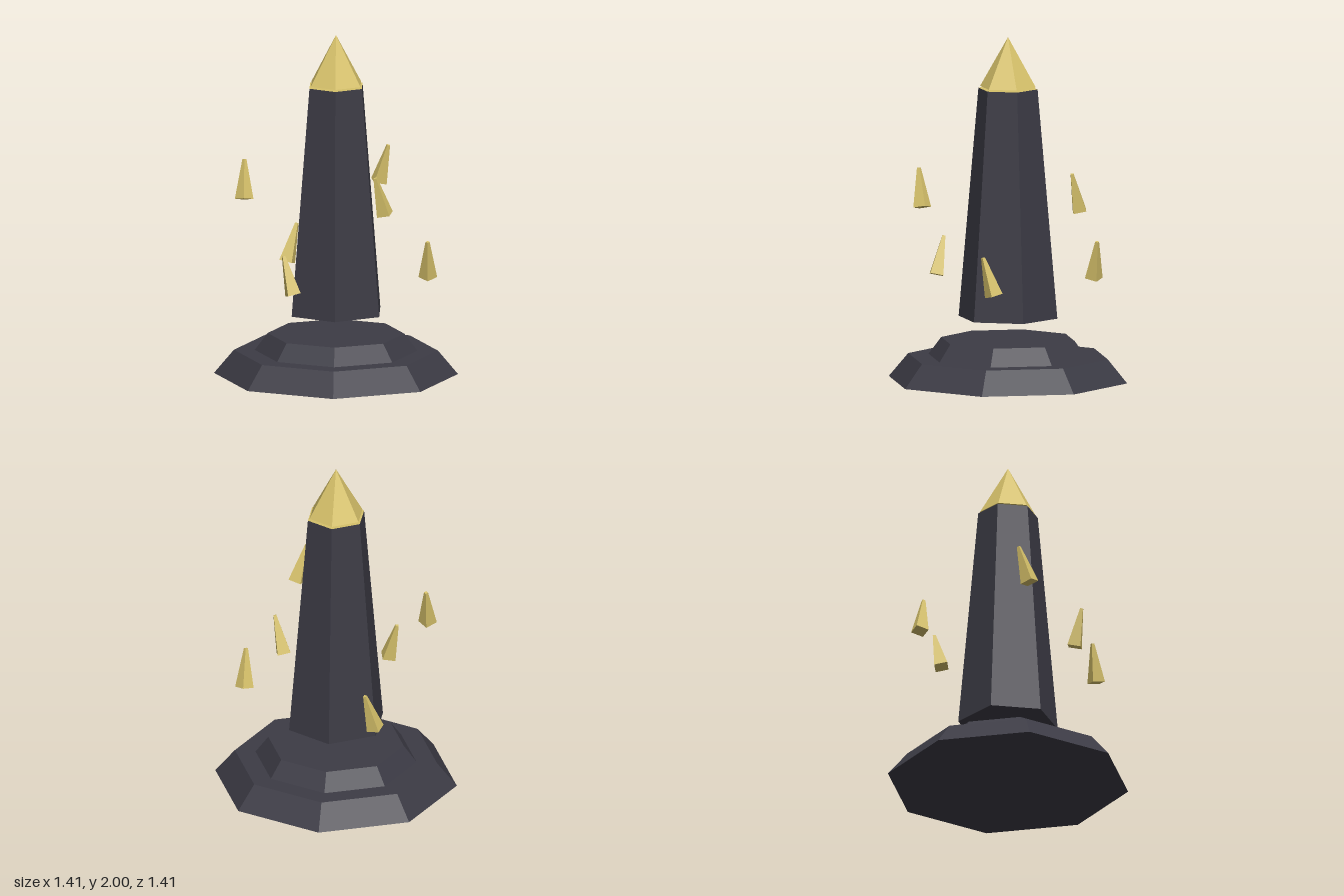
import * as THREE from 'three';

export function createModel() {
  const model = new THREE.Group();
  model.name = 'floatingObelisk';

  const stone = new THREE.MeshStandardMaterial({ color: 0x3c3b45, flatShading: true });
  stone.name = 'dark stone';
  const gold = new THREE.MeshStandardMaterial({ color: 0xd6c16a, flatShading: true });
  gold.name = 'pale gold';

  // Faceted frustum standing between two heights
  function frustum(name, rTop, rBottom, y0, y1, sides, material) {
    const geometry = new THREE.CylinderGeometry(rTop, rBottom, y1 - y0, sides);
    const mesh = new THREE.Mesh(geometry, material);
    mesh.name = name;
    mesh.position.y = (y0 + y1) / 2;
    model.add(mesh);
    return mesh;
  }

  // Stepped octagonal base
  frustum('lowerBase', 0.59, 0.705, 0, 0.137, 8, stone);
  frustum('upperBase', 0.395, 0.47, 0.137, 0.237, 8, stone);

  // Hovering hexagonal shaft with a gilded top face
  frustum('shaft', 0.175, 0.292, 0.365, 1.7, 6, [stone, gold, stone]);

  // Pointed cap, just clear of the shaft
  const cap = new THREE.Mesh(new THREE.ConeGeometry(0.165, 0.29, 6), gold);
  cap.name = 'cap';
  cap.position.y = 1.855;
  model.add(cap);

  // Ring of tilted shards, alternating low and high
  const shardGeometry = new THREE.CylinderGeometry(0.012, 0.054, 0.23, 4);
  for (let i = 0; i < 6; i++) {
    const angle = (i * Math.PI) / 3;
    const shard = new THREE.Mesh(shardGeometry, gold);
    shard.name = `shard${i + 1}`;
    shard.position.set(0.53 * Math.cos(angle), i % 2 ? 1.146 : 0.676, 0.53 * Math.sin(angle));
    shard.rotation.set(0.28, -angle, 0, 'YXZ');
    model.add(shard);
  }

  return model;
}
